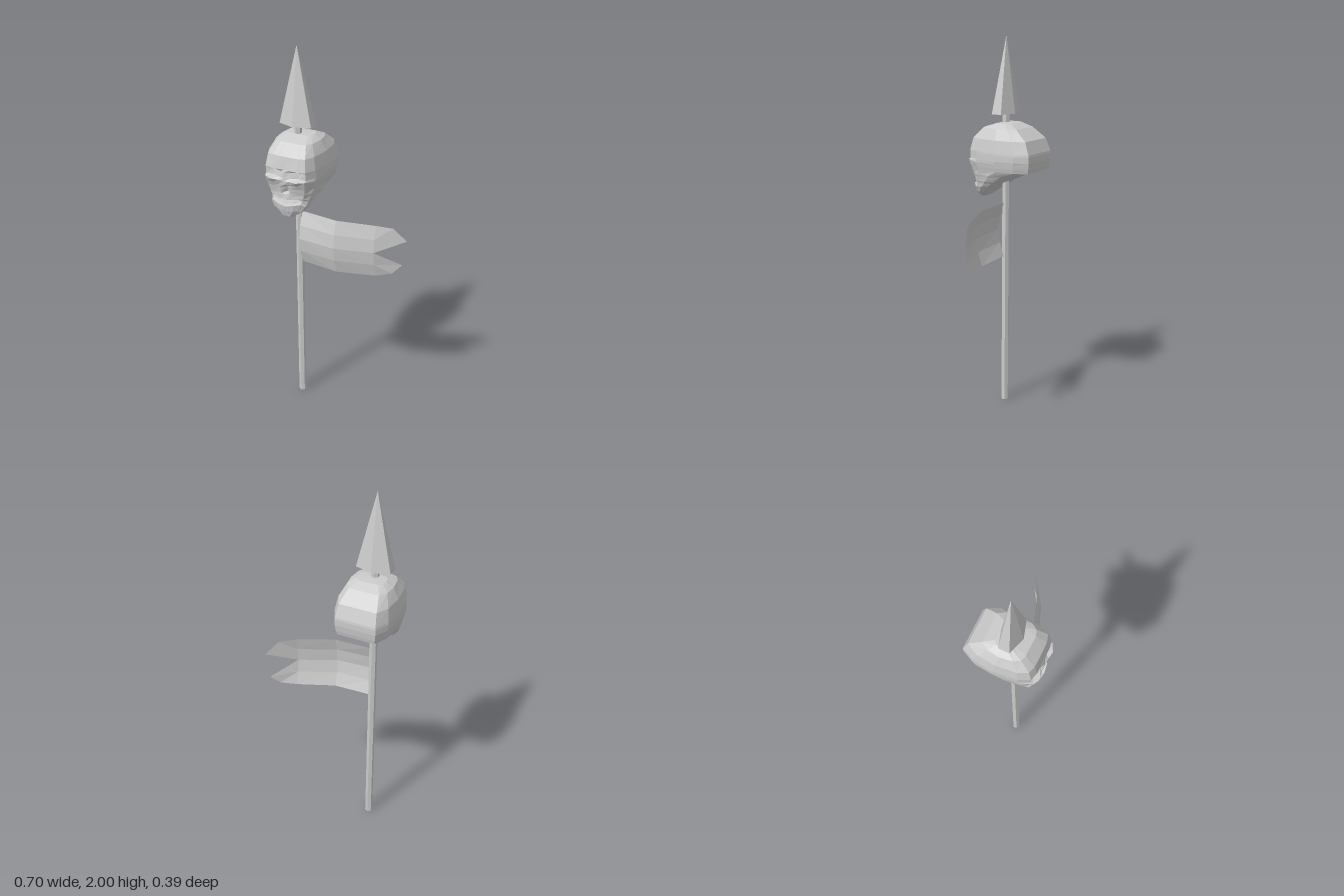
import * as THREE from 'three';

const POLE_X = -0.205, POLE_Z = 0.02;
const metal = new THREE.MeshStandardMaterial({ color: 0xcccccc, flatShading: true });
const cloth = new THREE.MeshStandardMaterial({ color: 0xcccccc, flatShading: true, side: THREE.DoubleSide });

function mesh(name, geometry, material = metal) {
  const m = new THREE.Mesh(geometry, material);
  m.name = name;
  return m;
}

function indexed(points, index) {
  const g = new THREE.BufferGeometry();
  g.setAttribute('position', new THREE.Float32BufferAttribute(points, 3));
  g.setIndex(index);
  g.computeVertexNormals();
  return g;
}

// Half outline of the skull from front centre to back centre: [width share, depth share]
const OUTLINE = [[0, 0], [0.2, 0], [0.48, 0], [0.75, 0], [0.92, 0.16], [1, 0.5], [0.93, 0.8], [0.7, 1], [0, 1]];

// Skull cross-sections: height, half width, back z, front z at four columns, rise of outer columns
const SECTIONS = [
  [1.155, 0.04, 0.125, 0.165, 0.165, 0.165, 0.155, 0], // chin
  [1.185, 0.085, 0.09, 0.175, 0.175, 0.172, 0.16, 0.01],
  [1.215, 0.105, 0.05, 0.182, 0.18, 0.175, 0.16, 0.02], // lower lip
  [1.22, 0.108, 0.04, 0.155, 0.155, 0.15, 0.15, 0.022], // mouth
  [1.24, 0.115, 0.01, 0.148, 0.148, 0.146, 0.145, 0.015],
  [1.248, 0.12, -0.01, 0.172, 0.168, 0.16, 0.15, 0.012], // upper lip
  [1.275, 0.129, -0.06, 0.168, 0.168, 0.158, 0.15, 0],
  [1.285, 0.133, -0.08, 0.14, 0.168, 0.16, 0.152, 0], // nose hole
  [1.312, 0.141, -0.185, 0.15, 0.172, 0.166, 0.158, 0],
  [1.332, 0.146, -0.19, 0.182, 0.176, 0.175, 0.165, 0],
  [1.353, 0.15, -0.193, 0.184, 0.185, 0.193, 0.175, 0.01], // cheekbones
  [1.368, 0.152, -0.195, 0.182, 0.172, 0.155, 0.162, 0], // eye sockets
  [1.398, 0.152, -0.195, 0.178, 0.165, 0.15, 0.162, 0],
  [1.41, 0.151, -0.193, 0.175, 0.177, 0.177, 0.165, 0], // brow
  [1.475, 0.14, -0.168, 0.163, 0.163, 0.161, 0.15, 0],
  [1.53, 0.112, -0.1, 0.11, 0.11, 0.11, 0.1, 0],
  [1.553, 0.075, -0.05, 0.04, 0.04, 0.04, 0.038, 0], // crown
];

function skullGeometry() {
  const points = [], index = [];
  const n = (OUTLINE.length - 1) * 2;
  for (const [y, w, back, ...rest] of SECTIONS) {
    const fronts = rest.slice(0, 4), rise = rest[4];
    for (let j = 0; j < n; j++) {
      const mirrored = j >= OUTLINE.length;
      const k = mirrored ? n - j : j;
      const [sx, t] = OUTLINE[k];
      const front = fronts[Math.min(k, 3)];
      points.push((mirrored ? -1 : 1) * sx * w, y + (k < 4 ? rise * sx : 0), front + (back - front) * t);
    }
  }
  const last = SECTIONS.length - 1;
  for (let i = 0; i < last; i++) {
    for (let j = 0; j < n; j++) {
      const a = i * n + j, b = i * n + (j + 1) % n;
      index.push(a, b, b + n, a, b + n, a + n);
    }
  }
  // Close the chin and the crown
  for (const i of [0, last]) {
    const [y, , back, front] = SECTIONS[i];
    const c = points.length / 3;
    points.push(0, y + (i ? 0.003 : 0), (back + front) / 2);
    for (let j = 0; j < n; j++) {
      const a = i * n + j, b = i * n + (j + 1) % n;
      if (i) index.push(a, b, c);
      else index.push(b, a, c);
    }
  }
  return indexed(points, index);
}

function bannerGeometry() {
  const points = [], index = [], rows = 4;
  // Columns of the cloth: x, top y, bottom y, z at the edges, z at the belly
  const columns = [
    [-0.19, 1.125, 0.83, 0.02, 0.056],
    [0.01, 1.115, 0.818, 0.024, 0.053],
    [0.205, 1.1, 0.81, -0.045, -0.02],
  ];
  for (const [x, top, bottom, edge, belly] of columns) {
    for (let r = 0; r <= rows; r++) {
      const t = r / rows;
      points.push(x, top + (bottom - top) * t, edge + (belly - edge) * Math.sin(Math.PI * t));
    }
  }
  const n = rows + 1;
  for (let c = 0; c < columns.length - 1; c++) {
    for (let r = 0; r < rows; r++) {
      const a = c * n + r;
      index.push(a, a + 1, a + n + 1, a, a + n + 1, a + n);
    }
  }
  // Two pointed tails either side of the notch
  const end = 2 * n, tail = points.length / 3;
  points.push(0.283, 1.085, -0.085, 0.347, 1.01, -0.12);
  points.push(0.283, 0.823, -0.085, 0.325, 0.868, -0.118);
  index.push(end, end + 1, tail, end + 1, tail + 1, tail, end + 1, end + 2, tail + 1);
  index.push(end + 4, tail + 2, end + 3, end + 3, tail + 2, tail + 3, end + 2, end + 3, tail + 3);
  return indexed(points, index);
}

export function createModel() {
  const model = new THREE.Group();
  model.name = 'skullBannerSpear';

  // Shaft
  const pole = mesh('pole', new THREE.CylinderGeometry(0.02, 0.02, 1.61, 6));
  pole.position.set(POLE_X, 0.805, POLE_Z);

  // Flattened six-sided point
  const spearhead = mesh('spearhead', new THREE.ConeGeometry(0.057, 0.4, 6));
  spearhead.scale.x = 0.09 / (0.057 * Math.cos(Math.PI / 6));
  spearhead.position.set(POLE_X, 1.8, POLE_Z);

  // Skull pierced by the shaft
  const skull = mesh('skull', skullGeometry());
  skull.position.x = -0.199;

  // Swallow-tailed cloth blown to one side
  const banner = mesh('banner', bannerGeometry(), cloth);

  model.add(pole, spearhead, skull, banner);
  return model;
}
